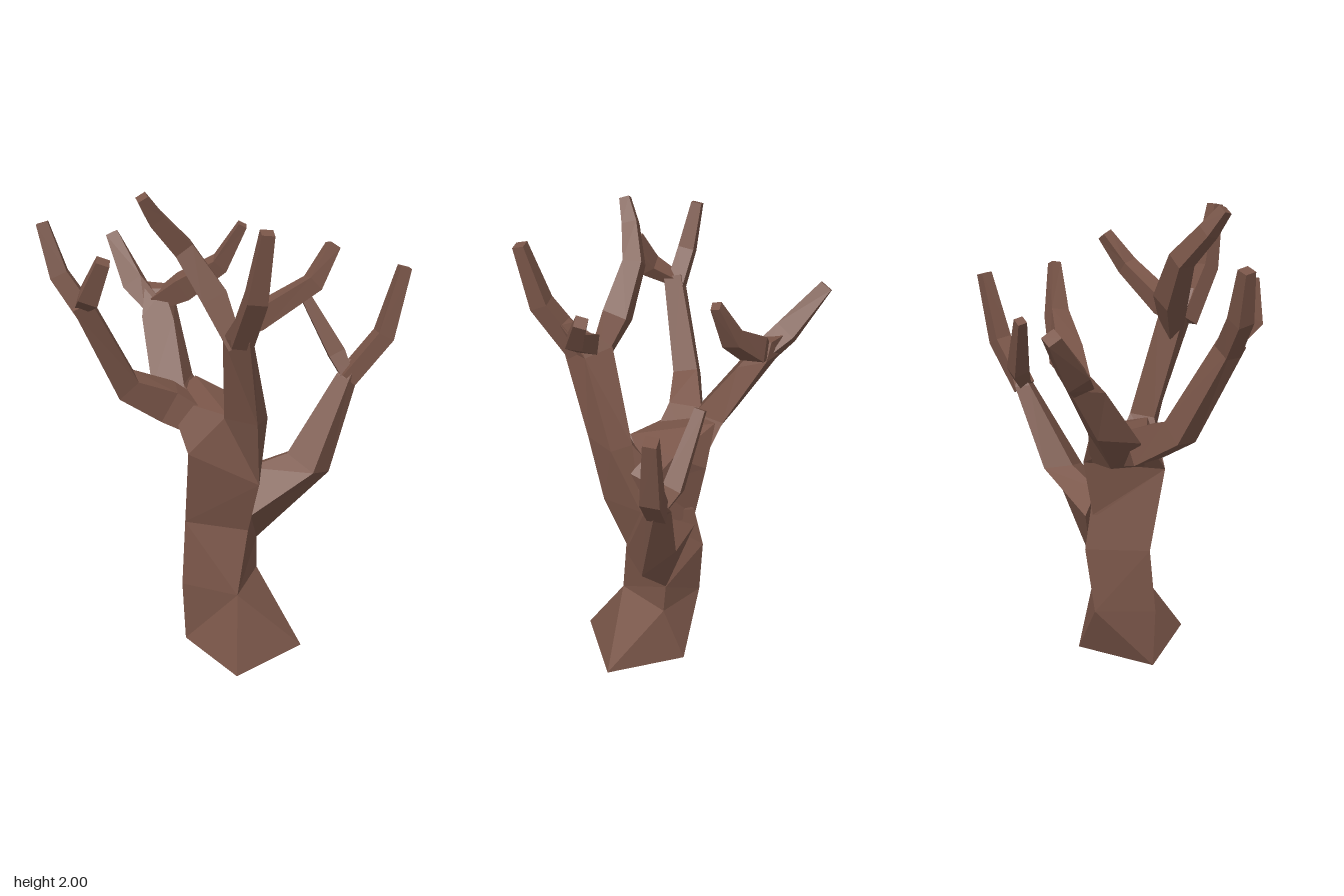
import * as THREE from 'three';

const bark = new THREE.MeshStandardMaterial({ color: 0x795548, flatShading: true });
bark.name = 'bark brown';

const distance = (a, b) => Math.hypot(a[0] - b[0], a[1] - b[1], a[2] - b[2]);

// Closed skin over four-cornered rings, each side split along its shorter diagonal
function loft(name, rings) {
  const pos = [];
  const tri = (a, b, c) => pos.push(...a, ...b, ...c);
  const n = rings[0].length;
  for (let i = 0; i < rings.length - 1; i++) {
    for (let j = 0; j < n; j++) {
      const k = (j + 1) % n, lo = rings[i], hi = rings[i + 1];
      if (distance(lo[j], hi[k]) < distance(lo[k], hi[j])) {
        tri(lo[j], lo[k], hi[k]);
        tri(lo[j], hi[k], hi[j]);
      } else {
        tri(lo[j], lo[k], hi[j]);
        tri(lo[k], hi[k], hi[j]);
      }
    }
  }
  const first = rings[0], last = rings[rings.length - 1];
  for (let j = 1; j < n - 1; j++) {
    tri(first[0], first[j + 1], first[j]);
    tri(last[0], last[j], last[j + 1]);
  }
  const geo = new THREE.BufferGeometry();
  geo.setAttribute('position', new THREE.Float32BufferAttribute(pos, 3));
  geo.computeVertexNormals();
  const mesh = new THREE.Mesh(geo, bark);
  mesh.name = name;
  return mesh;
}

// Square-section limb along points [x, y, z, half width]
function limb(name, path) {
  const pts = path.map(p => new THREE.Vector3(p[0], p[1], p[2]));
  const ref = new THREE.Vector3(0, 0, 1);
  const rings = pts.map((p, i) => {
    const t = new THREE.Vector3();
    if (i > 0) t.add(p.clone().sub(pts[i - 1]).normalize());
    if (i < pts.length - 1) t.add(pts[i + 1].clone().sub(p).normalize());
    t.normalize();
    const u = t.clone().cross(ref).normalize();
    const v = t.clone().cross(u);
    const r = path[i][3] * Math.SQRT2;
    return [0, 1, 2, 3].map(k => {
      const a = (k + 0.5) * Math.PI / 2;
      return p.clone().addScaledVector(u, r * Math.cos(a)).addScaledVector(v, r * Math.sin(a)).toArray();
    });
  });
  return loft(name, rings);
}

export function createModel() {
  const tree = new THREE.Group();
  tree.name = 'bareTree';

  // Trunk: flared foot, bent stem, running on into the front limb
  tree.add(loft('trunk', [
    [[-0.06, 0, 0.38], [0.25, 0, 0.2], [0.07, 0, -0.11], [-0.24, 0, 0.07]],
    [[-0.03, 0.28, 0.2], [0.09, 0.28, -0.02], [-0.1, 0.28, -0.14], [-0.25, 0.28, 0.07]],
    [[0.02, 0.57, 0.165], [0.09, 0.42, -0.03], [-0.06, 0.57, -0.16], [-0.23, 0.57, 0.05]],
    [[0.05, 0.82, 0.25], [0.08, 0.8, 0.08], [-0.05, 0.76, -0.12], [-0.22, 0.92, 0.13]],
    [[0.03, 1.11, 0.315], [0.09, 1.09, 0.2], [0.02, 1.09, 0.13], [-0.08, 1.09, 0.18]],
    [[-0.02, 1.48, 0.42], [0.01, 1.46, 0.32], [-0.04, 1.5, 0.22], [-0.1, 1.46, 0.29]],
    [[0.0, 1.6, 0.45], [0.02, 1.6, 0.41], [-0.02, 1.6, 0.37], [-0.05, 1.6, 0.4]],
  ]));

  // Crotch joining the left and back limbs
  tree.add(loft('crotch', [
    [[0.01, 0.72, 0.16], [0.06, 0.72, 0], [-0.06, 0.72, -0.12], [-0.2, 0.72, 0.07]],
    [[0.04, 1.0, 0.22], [0.08, 0.95, 0.04], [-0.06, 0.97, -0.165], [-0.22, 0.92, 0.13]],
    [[-0.06, 1.09, 0.16], [0.04, 1.07, -0.05], [-0.15, 1.14, -0.18], [-0.28, 1.11, -0.02]],
  ]));

  // Front limb twigs
  tree.add(limb('frontTwigUpper', [
    [-0.04, 1.47, 0.36, 0.04], [-0.01, 1.67, 0.495, 0.037], [0.015, 1.915, 0.555, 0.023]]));
  tree.add(limb('frontTwigLeft', [
    [-0.05, 1.42, 0.29, 0.03], [-0.12, 1.6, 0.22, 0.05], [-0.23, 1.78, 0.18, 0.038],
    [-0.33, 1.9, 0.22, 0.03], [-0.38, 1.985, 0.255, 0.02]]));
  tree.add(limb('frontTwigRight', [
    [-0.05, 1.49, 0.32, 0.025], [0.02, 1.535, 0.3, 0.04], [0.24, 1.655, 0.275, 0.032],
    [0.325, 1.78, 0.22, 0.023]]));

  // Left limb and its twigs
  tree.add(limb('leftLimb', [
    [-0.15, 1.02, 0.01, 0.06], [-0.28, 1.09, -0.03, 0.07], [-0.45, 1.19, 0.01, 0.052],
    [-0.61, 1.57, 0.11, 0.037]]));
  tree.add(limb('leftTwigUpper', [
    [-0.59, 1.52, 0.1, 0.036], [-0.685, 1.67, 0.07, 0.034], [-0.735, 1.86, 0.04, 0.022]]));
  tree.add(limb('leftTwigFront', [
    [-0.61, 1.55, 0.09, 0.022], [-0.58, 1.62, 0.21, 0.037], [-0.525, 1.76, 0.255, 0.025]]));

  // Back limb and its twigs
  tree.add(loft('backLimb', [
    [[-0.2, 0.95, 0.04], [-0.08, 0.95, 0.02], [-0.07, 0.97, -0.14], [-0.16, 0.96, -0.1]],
    [[-0.34, 1.13, -0.09], [-0.21, 1.14, -0.08], [-0.16, 1.14, -0.21], [-0.28, 1.16, -0.25]],
    [[-0.36, 1.38, -0.27], [-0.23, 1.37, -0.25], [-0.21, 1.42, -0.37], [-0.33, 1.41, -0.41]],
    [[-0.34, 1.48, -0.35], [-0.26, 1.48, -0.33], [-0.25, 1.49, -0.38], [-0.33, 1.49, -0.42]],
  ]));
  tree.add(limb('backTwigOuter', [
    [-0.3, 1.41, -0.34, 0.04], [-0.375, 1.48, -0.42, 0.045], [-0.455, 1.665, -0.56, 0.026]]));
  tree.add(limb('backTwigRight', [
    [-0.3, 1.42, -0.34, 0.03], [-0.18, 1.49, -0.32, 0.05], [-0.03, 1.6, -0.26, 0.035],
    [0.055, 1.77, -0.21, 0.018]]));

  // Right limb, spreading out of the trunk, and its twigs
  tree.add(loft('rightLimb', [
    [[0.05, 0.77, -0.02], [0.03, 0.62, 0.14], [0.085, 0.42, -0.03], [-0.02, 0.7, -0.13]],
    [[0.22, 0.82, -0.03], [0.31, 0.77, 0.08], [0.4, 0.73, -0.01], [0.3, 0.8, -0.125]],
    [[0.44, 1.14, -0.1], [0.485, 1.13, -0.055], [0.525, 1.1, -0.09], [0.48, 1.13, -0.15]],
    [[0.5, 1.2, -0.12], [0.53, 1.2, -0.09], [0.555, 1.17, -0.11], [0.53, 1.19, -0.14]],
  ]));
  tree.add(limb('rightTwigUpper', [
    [0.485, 1.12, -0.1, 0.036], [0.645, 1.3, -0.12, 0.037], [0.725, 1.585, -0.14, 0.024]]));
  tree.add(limb('rightTwigBack', [
    [0.49, 1.13, -0.1, 0.025], [0.45, 1.22, -0.15, 0.036], [0.31, 1.48, -0.215, 0.02]]));

  return tree;
}
